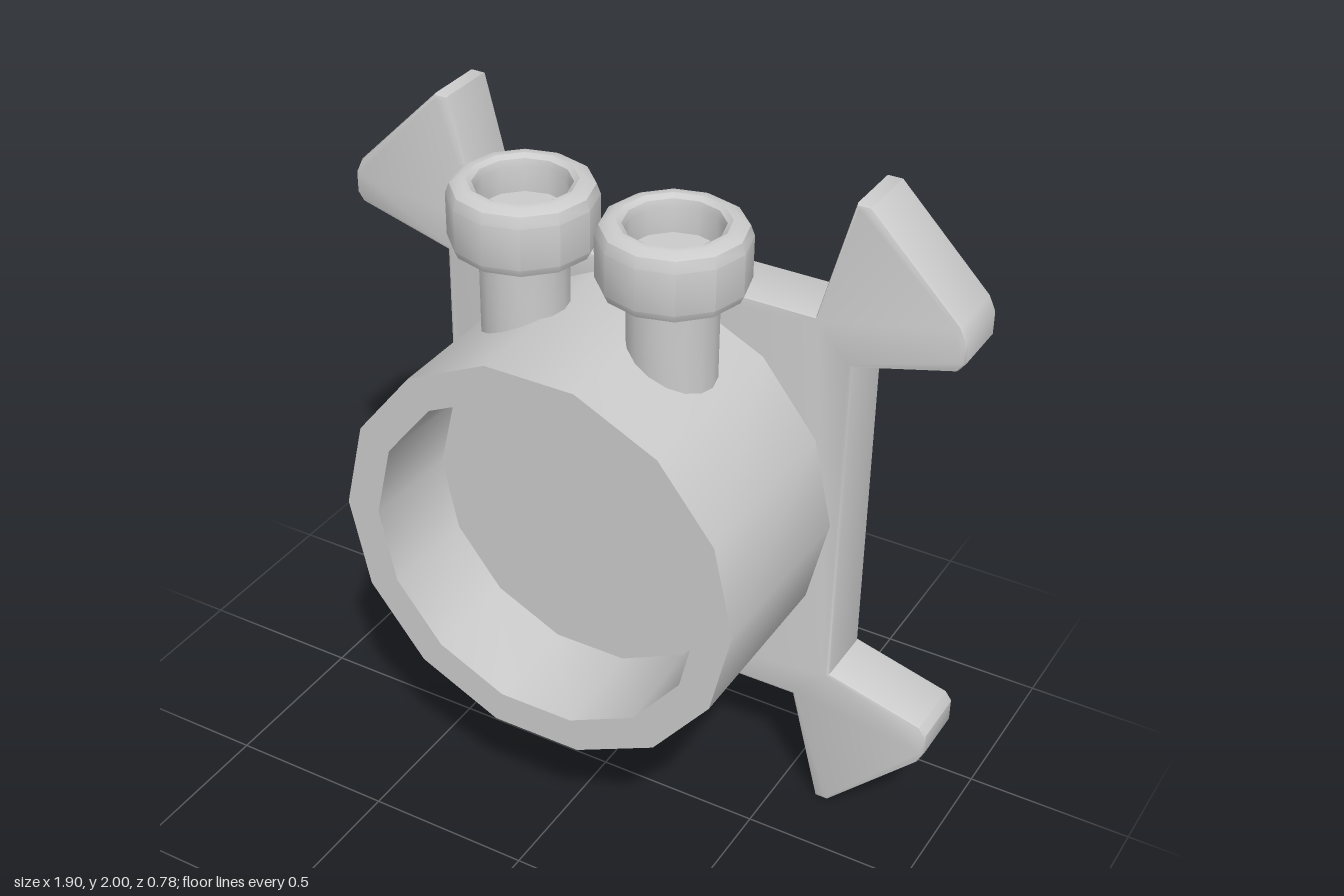
import * as THREE from 'three';
import { toCreasedNormals } from 'three/addons/utils/BufferGeometryUtils.js';

const material = new THREE.MeshStandardMaterial({ color: 0xcccccc });

function addMesh(parent, name, geometry) {
  const mesh = new THREE.Mesh(toCreasedNormals(geometry, 0.6), material);
  mesh.name = name;
  parent.add(mesh);
  return mesh;
}

// Turned part around y; profile is [radius, height] pairs
function turned(profile, sides) {
  const points = profile.map(([r, y]) => new THREE.Vector2(r, y));
  return new THREE.LatheGeometry(points, sides, Math.PI / 2);
}

// Square plate with an arrowhead at every corner
function plateGeometry() {
  const corner = [
    [0.64, 0.52], [0.93, 0.598], [0.95, 0.625], [0.95, 0.69],
    [0.93, 0.732], [0.662, 1], [0.62, 1], [0.525, 0.642],
  ];
  const outline = [];
  for (const [sx, sy] of [[1, 1], [-1, 1], [-1, -1], [1, -1]]) {
    const pts = corner.map(([x, y]) => new THREE.Vector2(x * sx, y * sy));
    outline.push(...(sx * sy > 0 ? pts : pts.reverse()));
  }
  const bevel = 0.012;
  const geometry = new THREE.ExtrudeGeometry(new THREE.Shape(outline), {
    depth: 0.2 - 2 * bevel,
    bevelThickness: bevel,
    bevelSize: bevel,
    bevelOffset: -bevel,
    bevelSegments: 2,
  });
  return geometry.translate(0, 1, -0.39 + bevel);
}

export function createModel() {
  const model = new THREE.Group();
  model.name = 'clampPlate';

  addMesh(model, 'backPlate', plateGeometry());

  // Fourteen-sided collar with a slightly tapered, shallow bore
  const collar = turned([
    [0.61, -0.2], [0.61, 0.39], [0.508, 0.39], [0.495, 0.09], [0, 0.09],
  ], 14);
  addMesh(model, 'collar', collar.rotateX(Math.PI / 2).translate(0, 1, 0));

  // Two screws with rounded, socketed heads
  for (const [name, x] of [['rightScrew', -0.23], ['leftScrew', 0.225]]) {
    const screw = new THREE.Group();
    screw.name = name;
    screw.position.set(x, 0, 0.038);
    addMesh(screw, 'shaft', turned([[0, 1.48], [0.124, 1.48], [0.124, 1.78]], 16));
    addMesh(screw, 'head', turned([
      [0, 1.76], [0.175, 1.76], [0.195, 1.768], [0.205, 1.79],
      [0.205, 1.91], [0.194, 1.94], [0.17, 1.955], [0.15, 1.955],
      [0.135, 1.945], [0.129, 1.925], [0.129, 1.85], [0, 1.85],
    ], 12));
    model.add(screw);
  }

  return model;
}
